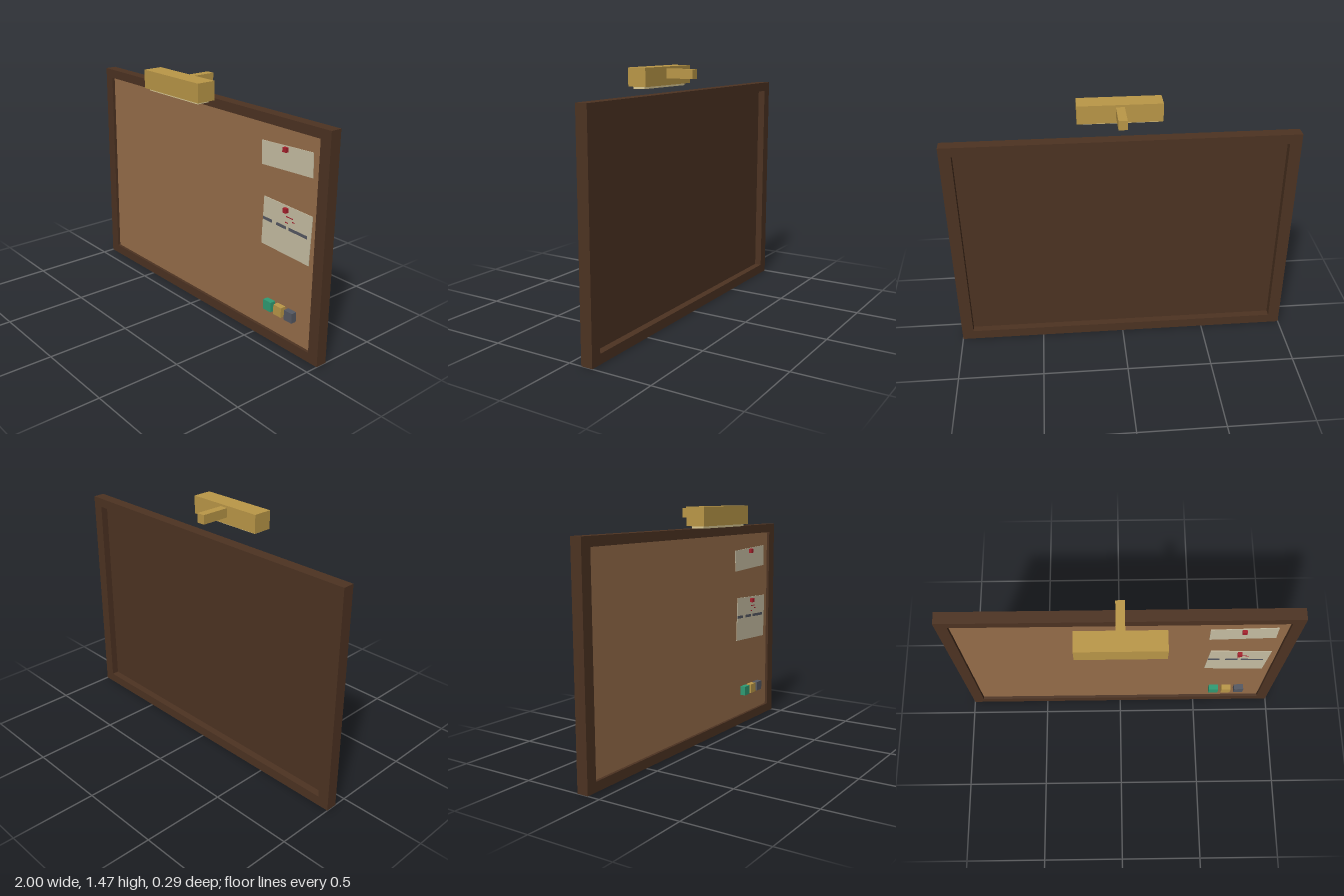
import * as THREE from 'three';

const material = (name, color) => {
  const m = new THREE.MeshStandardMaterial({ color });
  m.name = name;
  return m;
};

export function createModel() {
  const group = new THREE.Group();
  group.name = 'pinBoard';
  const wood = material('darkWood', 0x4d3322);
  const cork = material('cork', 0x976e4a);
  const brass = material('brass', 0xbb9848);
  const paper = material('paper', 0xc8bfa4);
  const red = material('red', 0xa8202c);
  const green = material('green', 0x2f9c74);
  const slate = material('slate', 0x555862);
  const glow = material('lampGlow', 0xdccb96);

  // Box given by its extents on each axis
  const box = (name, mat, [x0, x1], [y0, y1], [z0, z1], parent = group) => {
    const mesh = new THREE.Mesh(new THREE.BoxGeometry(x1 - x0, y1 - y0, z1 - z0), mat);
    mesh.position.set((x0 + x1) / 2, (y0 + y1) / 2, (z0 + z1) / 2);
    mesh.name = name;
    parent.add(mesh);
    return mesh;
  };

  // Frame: one extruded rectangle with a rectangular opening
  const rect = (path, x, y0, y1) => path.moveTo(-x, y0).lineTo(x, y0).lineTo(x, y1).lineTo(-x, y1).closePath();
  const outline = rect(new THREE.Shape(), 1, 0, 1.333);
  outline.holes.push(rect(new THREE.Path(), 0.932, 0.058, 1.278));
  const frame = new THREE.Mesh(new THREE.ExtrudeGeometry(outline, { depth: 0.07, bevelEnabled: false }), wood);
  frame.position.z = -0.147;
  frame.name = 'frame';
  group.add(frame);

  // Recessed board: wooden backing behind a cork face
  box('backing', wood, [-0.932, 0.932], [0.058, 1.278], [-0.104, -0.1]);
  box('corkFace', cork, [-0.932, 0.932], [0.058, 1.278], [-0.1, -0.095]);

  // Picture lamp above the board
  box('lampArm', brass, [-0.025, 0.025], [1.4, 1.455], [-0.147, 0.03]);
  box('lampHousing', brass, [-0.244, 0.244], [1.36, 1.468], [0.03, 0.147]);
  box('lampLens', glow, [-0.22, 0.22], [1.347, 1.36], [0.053, 0.128]);

  // Tilted paper sheets
  const sheet = (name, x, y, w, h, tilt) => {
    const note = new THREE.Group();
    note.name = name;
    note.position.set(x, y, -0.095);
    note.rotation.z = tilt;
    box('paper', paper, [-w / 2, w / 2], [-h / 2, h / 2], [0, 0.004], note);
    group.add(note);
    return note;
  };
  sheet('smallNote', 0.692, 1.114, 0.377, 0.136, 0.045);
  const large = sheet('largeNote', 0.71, 0.71, 0.362, 0.285, -0.04);

  // Broken line and faint red marks drawn on the large sheet
  for (const [x0, x1] of [[-0.18, -0.11], [-0.075, 0], [0.02, 0.155]])
    box('inkLine', slate, [x0, x1], [0.005, 0.023], [0.004, 0.0045], large);
  for (const [x, y, w] of [[0.02, 0.08, 0.05], [0.05, 0.062, 0.02], [0.0, 0.045, 0.02]])
    box('redMark', red, [x - w / 2, x + w / 2], [y - 0.003, y + 0.003], [0.004, 0.0045], large);

  // Push pins
  for (const [x, y] of [[0.69, 1.163], [0.71, 0.828]])
    box('pushPin', red, [x - 0.013, x + 0.013], [y - 0.013, y + 0.013], [-0.095, -0.071]);

  // Row of coloured blocks
  [[0.617, green], [0.699, brass], [0.783, slate]].forEach(([x, mat]) =>
    box('block', mat, [x - 0.03, x + 0.03], [0.192, 0.252], [-0.095, -0.06]));

  return group;
}
